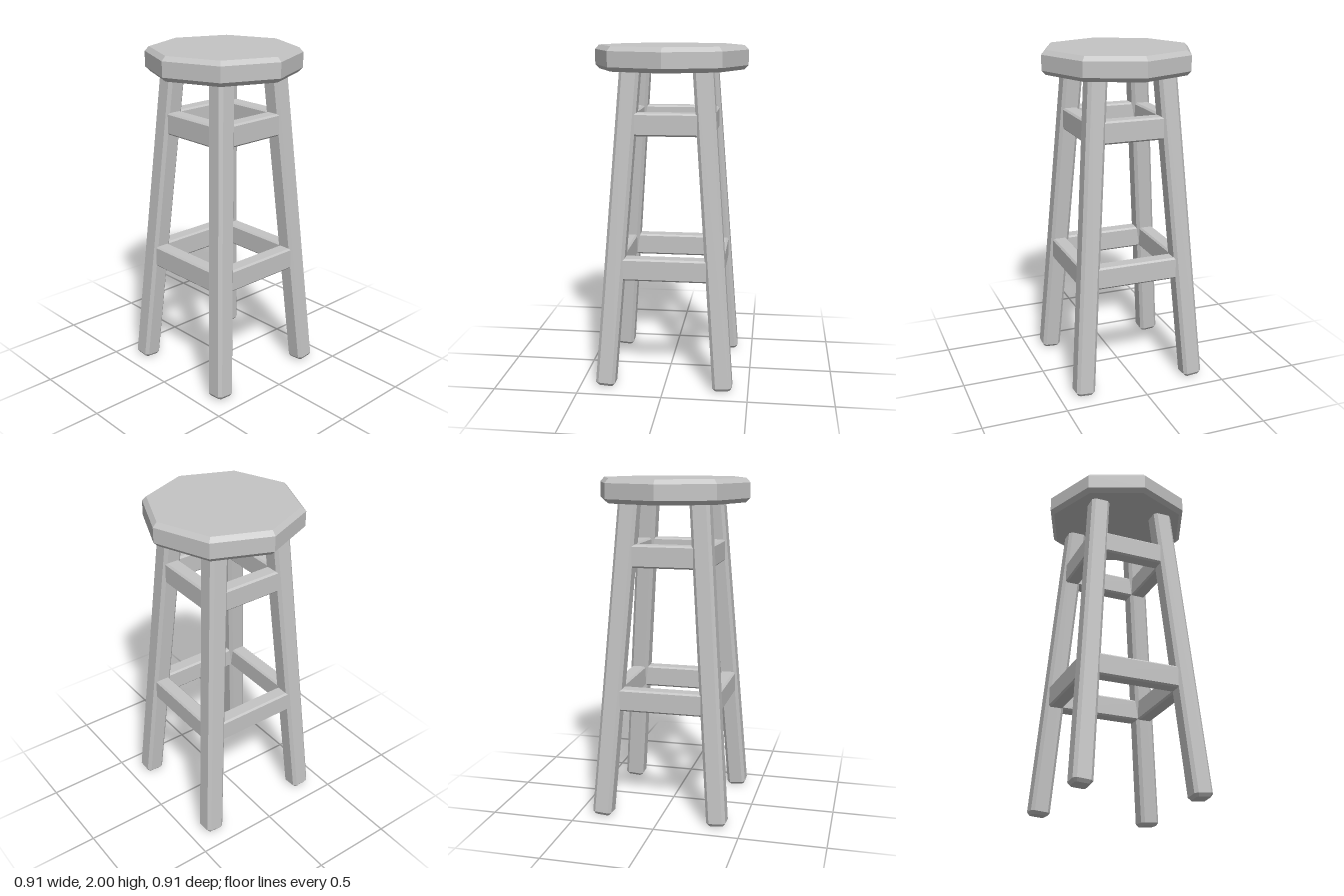
import * as THREE from 'three';

// Bar along +y, centred, with every edge chamfered
function chamferedBar(width, depth, length, c) {
  const x = width / 2, z = depth / 2;
  const shape = new THREE.Shape([
    [x - c, -z], [x, -z + c], [x, z - c], [x - c, z],
    [-x + c, z], [-x, z - c], [-x, -z + c], [-x + c, -z],
  ].map(([a, b]) => new THREE.Vector2(a, b)));
  const geometry = new THREE.ExtrudeGeometry(shape, {
    depth: length - 2 * c, bevelEnabled: true, bevelSegments: 1,
    bevelThickness: c, bevelSize: c * 0.8, bevelOffset: -c * 0.8,
  });
  geometry.translate(0, 0, -(length - 2 * c) / 2);
  geometry.rotateX(-Math.PI / 2);
  return geometry;
}

export function createModel() {
  const grey = new THREE.MeshStandardMaterial({ color: 0xc4c4c4, flatShading: true });
  grey.name = 'plain grey';
  const model = new THREE.Group();
  model.name = 'stool';
  const add = (name, geometry) => {
    const mesh = new THREE.Mesh(geometry, grey);
    mesh.name = name;
    model.add(mesh);
    return mesh;
  };

  // Eight-sided seat with chamfered rims
  const profile = [[0, 1.86], [0.43, 1.86], [0.455, 1.885], [0.455, 1.974], [0.43, 2], [0, 2]];
  add('seat', new THREE.LatheGeometry(profile.map(([r, y]) => new THREE.Vector2(r, y)), 8));

  // Legs lean inward on both axes
  const footOffset = 0.35, lean = 0.0757, legHeight = 1.89;
  const legGeometry = chamferedBar(0.115, 0.115, legHeight, 0.018);
  legGeometry.translate(0, legHeight / 2, 0);
  const up = new THREE.Vector3(0, 1, 0);
  for (const sx of [-1, 1]) {
    for (const sz of [-1, 1]) {
      const name = (sz > 0 ? 'front' : 'back') + (sx > 0 ? 'Left' : 'Right') + 'Leg';
      const leg = add(name, legGeometry);
      leg.position.set(sx * footOffset, 0.006, sz * footOffset);
      const direction = new THREE.Vector3(-sx * lean, 1, -sz * lean).normalize();
      leg.quaternion.setFromUnitVectors(up, direction);
    }
  }

  // Two rings of four rungs between the legs
  const sides = ['front', 'left', 'back', 'right'];
  for (const [level, y] of [['Lower', 0.717], ['Upper', 1.56]]) {
    const offset = footOffset - lean * y;
    const rungGeometry = chamferedBar(0.132, 0.09, 2 * offset, 0.01);
    rungGeometry.rotateZ(Math.PI / 2);
    rungGeometry.translate(0, y, offset);
    sides.forEach((side, i) => {
      add(side + level + 'Rung', rungGeometry).rotation.y = i * Math.PI / 2;
    });
  }
  return model;
}
